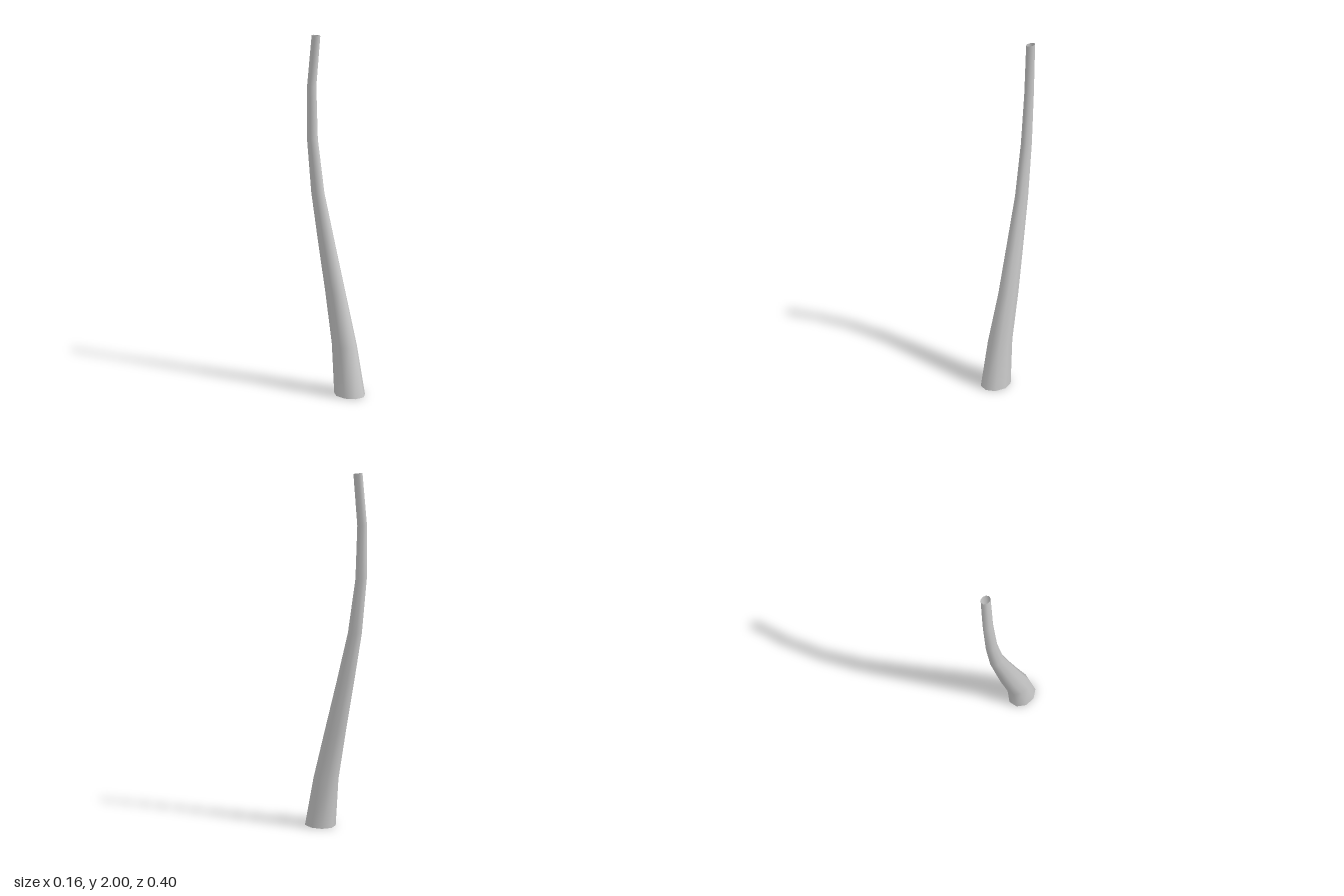
import * as THREE from 'three';
import { mergeVertices } from 'three/addons/utils/BufferGeometryUtils.js';

// Rings from base to tip: height, centre x, centre z, radius x, radius z
const RINGS = [
  [0, -0.003, 0.105, 0.08, 0.096],
  [0.28, -0.006, 0.066, 0.064, 0.078],
  [0.57, -0.007, -0.002, 0.049, 0.066],
  [0.85, -0.017, -0.063, 0.041, 0.054],
  [1.13, -0.026, -0.122, 0.031, 0.043],
  [1.43, -0.03, -0.16, 0.027, 0.034],
  [1.72, -0.023, -0.171, 0.023, 0.029],
  [1.997, -0.001, -0.158, 0.021, 0.027],
];
const SIDES = 9;

export function createModel() {
  const group = new THREE.Group();
  group.name = 'curvedTube';

  // Open unit cylinder with one edge loop per ring, seam welded for smooth shading
  const last = RINGS.length - 1;
  let geometry = new THREE.CylinderGeometry(1, 1, 1, SIDES, last, true);
  geometry.rotateY(Math.PI / 2);
  geometry.deleteAttribute('uv');
  geometry.deleteAttribute('normal');
  geometry = mergeVertices(geometry, 1e-4);

  // Fit each loop to its ring along the bend; the tip rim leans slightly forward
  const p = geometry.attributes.position;
  for (let i = 0; i < p.count; i++) {
    const k = Math.round((p.getY(i) + 0.5) * last);
    const [y, cx, cz, rx, rz] = RINGS[k];
    const lean = k === last ? 0.003 * p.getZ(i) : 0;
    p.setXYZ(i, cx + rx * p.getX(i), y - lean, cz + rz * p.getZ(i));
  }
  geometry.computeVertexNormals();

  const tube = new THREE.Mesh(
    geometry,
    new THREE.MeshStandardMaterial({ color: 0xcccccc, side: THREE.DoubleSide })
  );
  tube.name = 'taperedTube';
  group.add(tube);
  return group;
}
